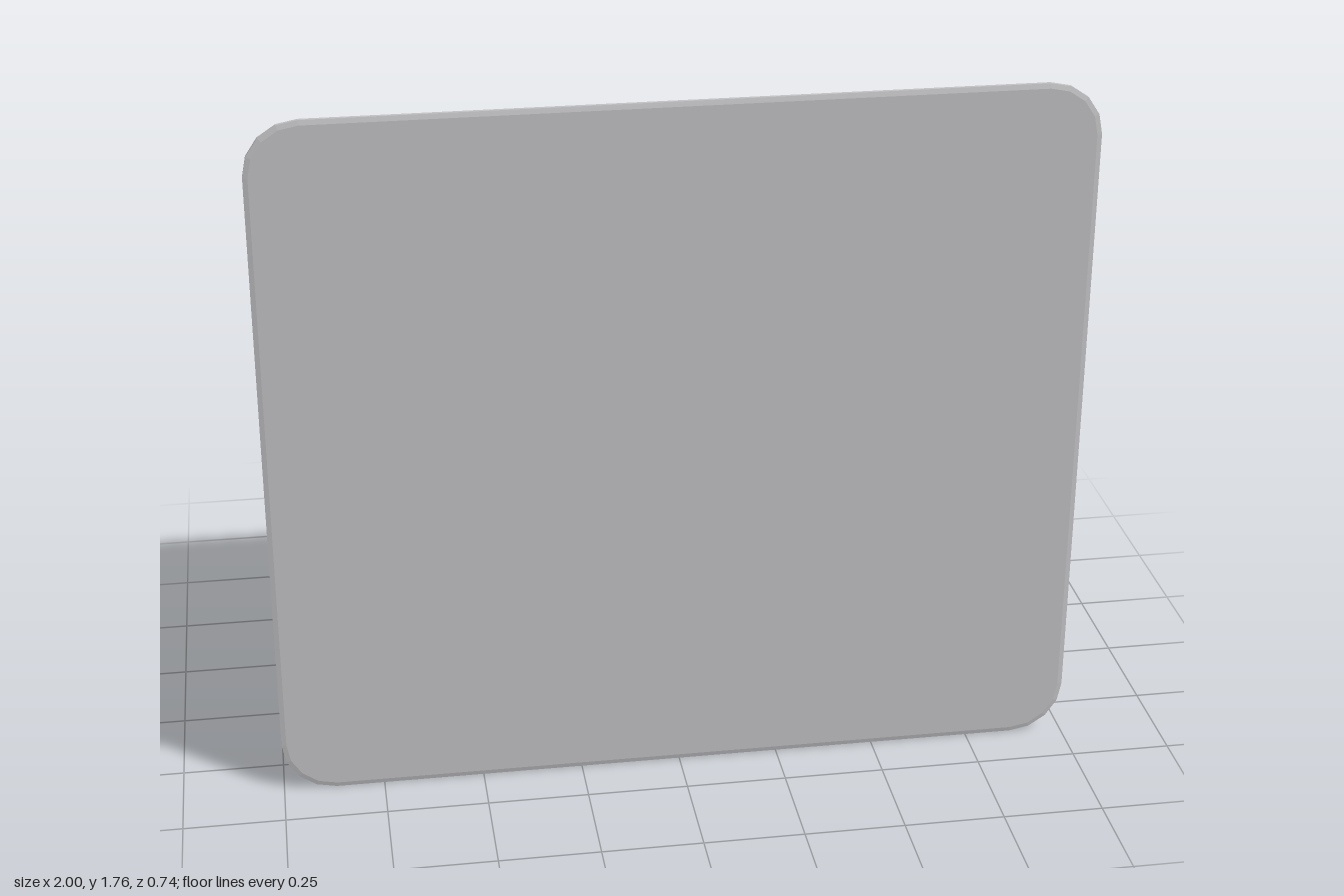
import * as THREE from 'three';

const BASIN_Y = 0.777;

// Rounded rectangle outline, counterclockwise, as a list of points
function roundedRect(hx, hy, r, steps) {
  const pts = [];
  [[1, 1], [-1, 1], [-1, -1], [1, -1]].forEach(([sx, sy], q) => {
    for (let i = 0; i <= steps; i++) {
      const a = (q + i / steps) * Math.PI / 2;
      pts.push(new THREE.Vector2(sx * (hx - r) + r * Math.cos(a), sy * (hy - r) + r * Math.sin(a)));
    }
  });
  return pts;
}

// Skin running back through rounded rectangles [z, half width, half height, radius]
function loftBasin(rings, endZ) {
  const loops = rings.map(([z, hx, hy, r]) =>
    roundedRect(hx, hy, r, 3).map(p => [p.x, p.y, z]));
  const n = loops[0].length;
  const pos = [];
  const tri = (...corners) => corners.forEach(c => pos.push(...c));
  for (let k = 0; k < loops.length - 1; k++) {
    for (let j = 0; j < n; j++) {
      const a0 = loops[k][j], a1 = loops[k][(j + 1) % n];
      const b0 = loops[k + 1][j], b1 = loops[k + 1][(j + 1) % n];
      tri(a0, b0, a1);
      tri(a1, b0, b1);
    }
  }
  // Slightly sloped floor running to the drain
  const last = loops[loops.length - 1];
  for (let j = 0; j < n; j++) tri([0, 0, endZ], last[(j + 1) % n], last[j]);
  const geo = new THREE.BufferGeometry();
  geo.setAttribute('position', new THREE.Float32BufferAttribute(pos, 3));
  geo.computeVertexNormals();
  return geo;
}

export function createModel() {
  const group = new THREE.Group();
  const steel = new THREE.MeshStandardMaterial({ color: 0xc0c0c2, flatShading: true });
  steel.name = 'brushed grey';

  const add = (name, geo, x, y, z) => {
    const mesh = new THREE.Mesh(geo, steel);
    mesh.name = name;
    mesh.position.set(x, y, z);
    group.add(mesh);
    return mesh;
  };

  // Thin plate with rounded corners and a fine bevelled edge
  const bevel = 0.012;
  const plate = new THREE.ExtrudeGeometry(
    new THREE.Shape(roundedRect(1 - bevel, 0.88 - bevel, 0.12, 4)),
    { depth: 0.009, bevelEnabled: true, bevelSize: bevel, bevelThickness: 0.003, bevelSegments: 1 });
  add('frontPlate', plate, 0, 0.88, 0.358);

  // Tapered basin with a rounded back edge
  add('basin', loftBasin([
    [0.357, 0.845, 0.633, 0.24],
    [-0.19, 0.80, 0.593, 0.24],
    [-0.25, 0.787, 0.578, 0.23],
    [-0.30, 0.74, 0.535, 0.20],
    [-0.33, 0.67, 0.465, 0.15],
    [-0.34, 0.60, 0.40, 0.10],
  ], -0.352), 0, BASIN_Y, 0);

  // Low drain boss with a shallow dished centre
  const drainProfile = [[0.19, 0], [0.165, 0.016], [0.10, 0.022], [0.07, 0.014], [0, 0.012]]
    .map(([r, h]) => new THREE.Vector2(r, h));
  const drain = add('drain', new THREE.LatheGeometry(drainProfile, 16), 0, BASIN_Y, -0.348);
  drain.rotation.x = -Math.PI / 2;

  return group;
}
